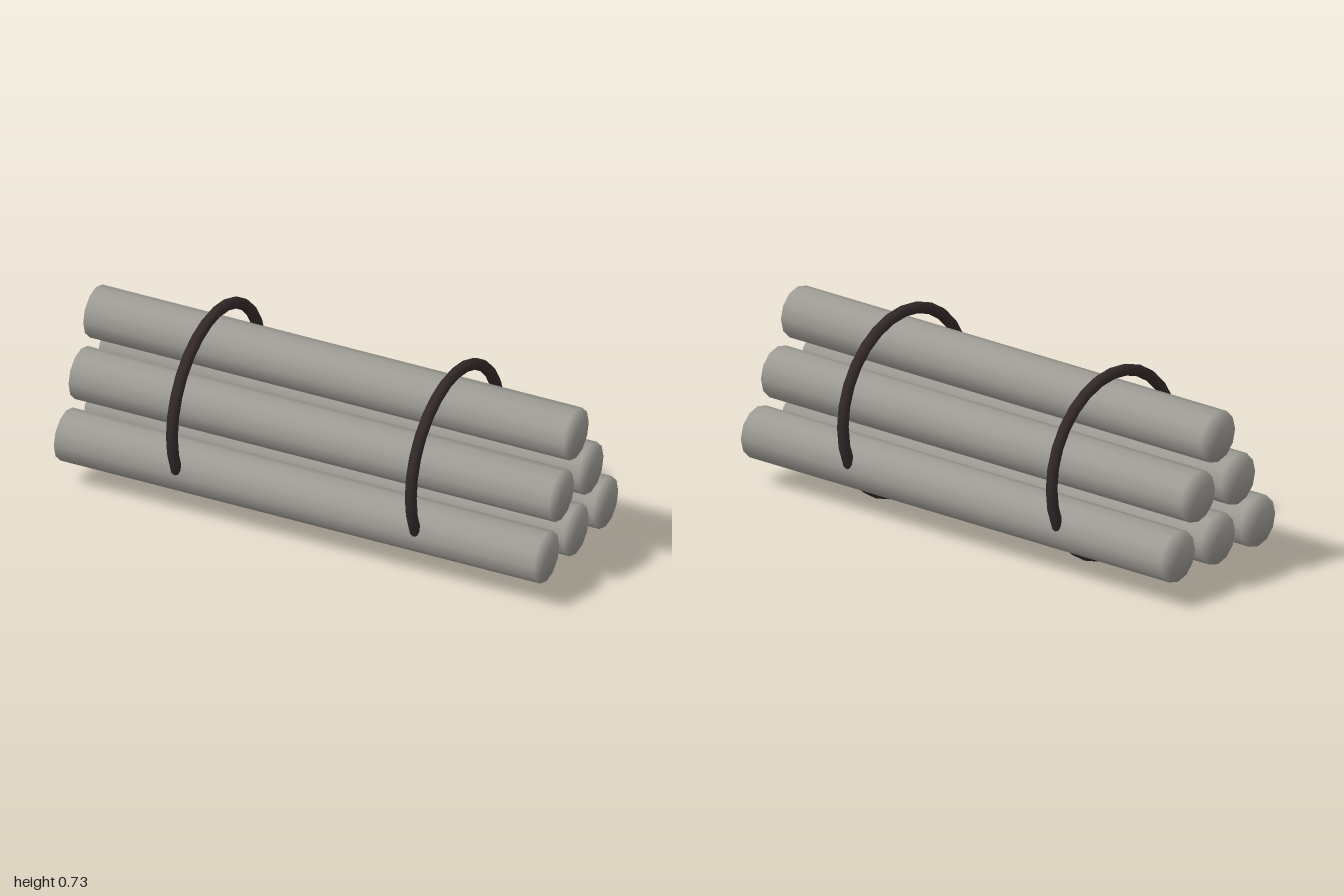
import * as THREE from 'three';
import { mergeVertices } from 'three/addons/utils/BufferGeometryUtils.js';

const LOG_LENGTH = 1.93, LOG_RADIUS = 0.097;
const SPACING = 0.225, ROW_HEIGHT = 0.195;

// Log along x, with its ends smoothed into its sides
function logGeometry() {
  let geo = new THREE.CylinderGeometry(LOG_RADIUS, LOG_RADIUS, LOG_LENGTH, 12);
  geo.deleteAttribute('normal');
  geo.deleteAttribute('uv');
  geo = mergeVertices(geo, 1e-4);
  geo.computeVertexNormals();
  return geo.rotateZ(Math.PI / 2);
}

export function createModel() {
  const logMaterial = new THREE.MeshStandardMaterial({ color: 0x9c9a93 });
  logMaterial.name = 'weathered grey';
  const bandMaterial = new THREE.MeshStandardMaterial({ color: 0x322828 });
  bandMaterial.name = 'dark brown';

  const model = new THREE.Group();
  model.name = 'logBundle';

  // Stacked logs: three, two, one
  const logGeo = logGeometry();
  for (let row = 0; row < 3; row++) {
    const count = 3 - row;
    for (let i = 0; i < count; i++) {
      const log = new THREE.Mesh(logGeo, logMaterial);
      log.name = `logRow${row + 1}Number${i + 1}`;
      log.position.set(0, 0.2 + row * ROW_HEIGHT, (i - (count - 1) / 2) * SPACING);
      model.add(log);
    }
  }

  // Two round bands that cut through the outer bottom logs
  const bandGeo = new THREE.TorusGeometry(0.341, 0.0215, 10, 28).rotateY(Math.PI / 2);
  for (const side of [-1, 1]) {
    const band = new THREE.Mesh(bandGeo, bandMaterial);
    band.name = side < 0 ? 'rightBand' : 'leftBand';
    band.position.set(side * 0.48, 0.3705, 0);
    model.add(band);
  }

  // The whole bundle lies at an angle
  model.rotation.y = -Math.PI / 6;
  const root = new THREE.Group();
  root.name = 'logPile';
  root.add(model);
  // Rest the lowest point on the ground
  root.updateMatrixWorld(true);
  model.position.y = -new THREE.Box3().setFromObject(root, true).min.y;
  return root;
}
